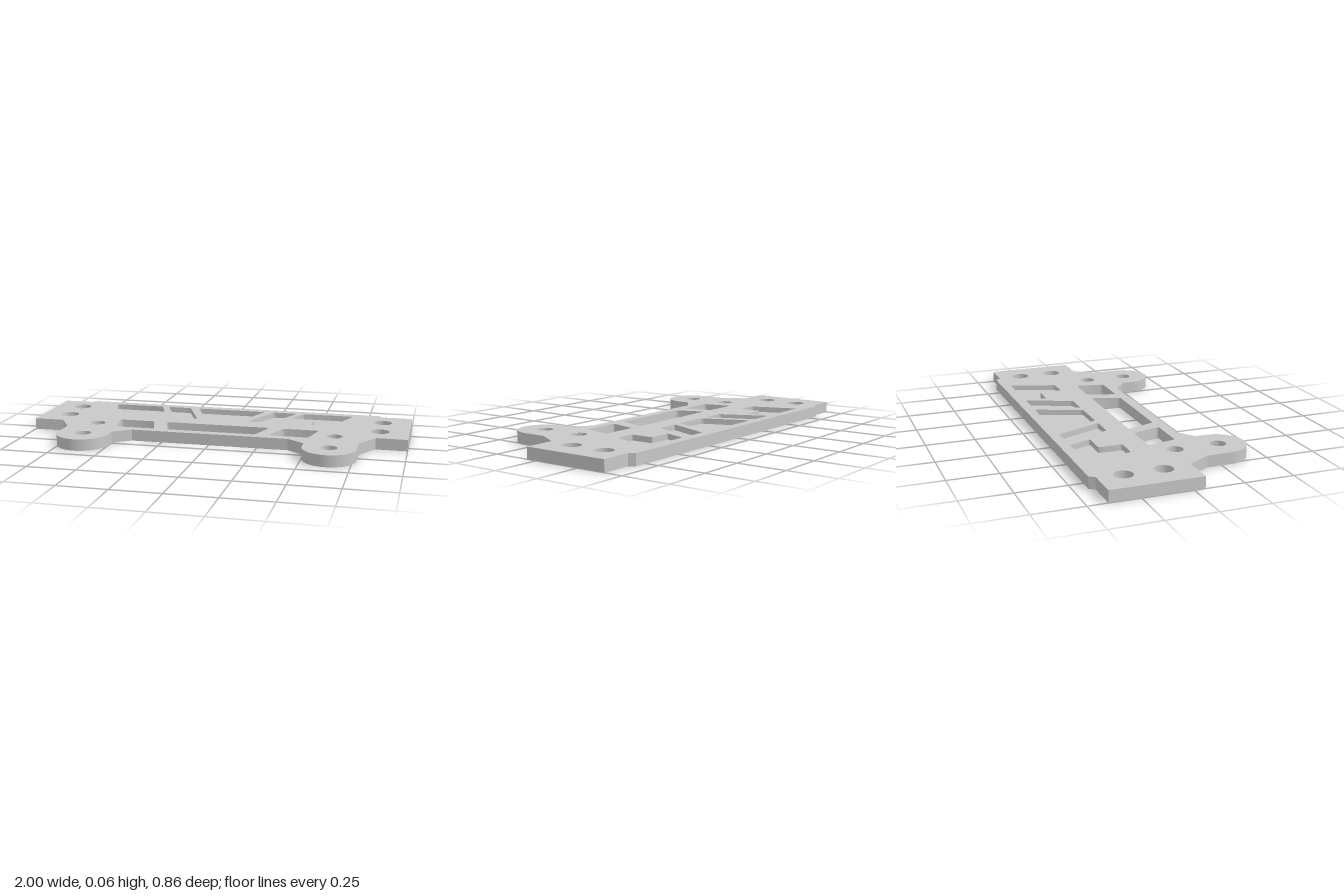
import * as THREE from 'three';
import { toCreasedNormals } from 'three/addons/utils/BufferGeometryUtils.js';

const THICKNESS = 0.059, POCKET_FLOOR = 0.03;

// Points are [x, z] seen from above; shapes use y = -z
const mirror = (pts) => pts.map(([x, z]) => [-x, z]).reverse();

// Closed polygon with small rounded corners, turned counter-clockwise so hole walls face inward
function roundedPolygon(pts, r, Type) {
  const path = new Type();
  const v = pts.map(([x, z]) => new THREE.Vector2(x, -z)).reverse();
  v.forEach((p, i) => {
    const prev = v[(i + v.length - 1) % v.length], next = v[(i + 1) % v.length];
    const a = p.clone().add(prev.clone().sub(p).setLength(r));
    const b = p.clone().add(next.clone().sub(p).setLength(r));
    if (i === 0) path.moveTo(a.x, a.y); else path.lineTo(a.x, a.y);
    path.quadraticCurveTo(p.x, p.y, b.x, b.y);
  });
  path.closePath();
  return path;
}

function slab(shape, depth) {
  const geo = new THREE.ExtrudeGeometry(shape, { depth, bevelEnabled: false, curveSegments: 16 });
  geo.rotateX(-Math.PI / 2);
  return toCreasedNormals(geo, 0.5);
}

export function createModel() {
  const group = new THREE.Group();
  const grey = new THREE.MeshStandardMaterial({ color: 0xc8c8c8 });
  grey.name = 'plain grey';

  // Plate outline with two round mounting ears at the front
  const tabX = 0.634, tabR = 0.134, tabZ = 0.298;
  const outline = new THREE.Shape();
  const line = (pts) => pts.forEach(([x, z]) => outline.lineTo(x, -z));
  outline.moveTo(-1, 0.403);
  line([[-0.84, -0.403], [-0.82, -0.431], [0.82, -0.431], [0.84, -0.403], [1, -0.403],
    [1, 0.055], [0.84, 0.055], [tabX + tabR, 0.175], [tabX + tabR, tabZ]]);
  outline.absarc(tabX, -tabZ, tabR, 0, -Math.PI, true);
  line([[0.5, 0.238], [0.41, 0.174], [-0.41, 0.174], [-0.5, 0.238], [-tabX + tabR, tabZ]]);
  outline.absarc(-tabX, -tabZ, tabR, 0, -Math.PI, true);
  line([[-tabX - tabR, 0.175], [-0.84, 0.055], [-1, 0.055]]);
  outline.closePath();

  // Round screw holes
  for (const side of [-1, 1]) {
    for (const [x, z, r] of [[0.852, -0.277, 0.047], [0.852, -0.083, 0.047],
      [tabX, 0.07, 0.04], [tabX, 0.294, 0.04]]) {
      const hole = new THREE.Path();
      hole.absarc(side * x, -z, r, 0, Math.PI * 2, false);
      outline.holes.push(hole);
    }
  }

  // Windows cut right through
  const sideWindow = [[-0.54, -0.027], [-0.35, -0.027], [-0.305, 0.124], [-0.508, 0.124]];
  const centreWindow = [[-0.28, -0.027], [0.28, -0.027], [0.232, 0.124], [-0.232, 0.124]];
  for (const pts of [sideWindow, centreWindow, mirror(sideWindow)]) {
    outline.holes.push(roundedPolygon(pts, 0.016, THREE.Path));
  }

  // Shallow pockets in the upper face
  const hookPocket = [[-0.68, -0.38], [-0.405, -0.38], [-0.362, -0.262], [-0.485, -0.262],
    [-0.485, -0.14], [-0.595, -0.14]];
  const slantPocket = [[-0.371, -0.38], [-0.24, -0.38], [-0.14, -0.14], [-0.264, -0.14]];
  const centrePocket = [[-0.189, -0.38], [0.189, -0.38], [0.096, -0.14], [-0.096, -0.14]];
  const pockets = [hookPocket, slantPocket, centrePocket, mirror(slantPocket), mirror(hookPocket)];
  for (const pts of pockets) outline.holes.push(roundedPolygon(pts, 0.012, THREE.Path));

  const plate = new THREE.Mesh(slab(outline, THICKNESS), grey);
  plate.name = 'mountingPlate';
  group.add(plate);

  // Floors that close the pockets from below
  pockets.forEach((pts, i) => {
    const floor = new THREE.Mesh(slab(roundedPolygon(pts, 0.012, THREE.Shape), POCKET_FLOOR), grey);
    floor.name = `pocketFloor${i + 1}`;
    group.add(floor);
  });
  return group;
}
